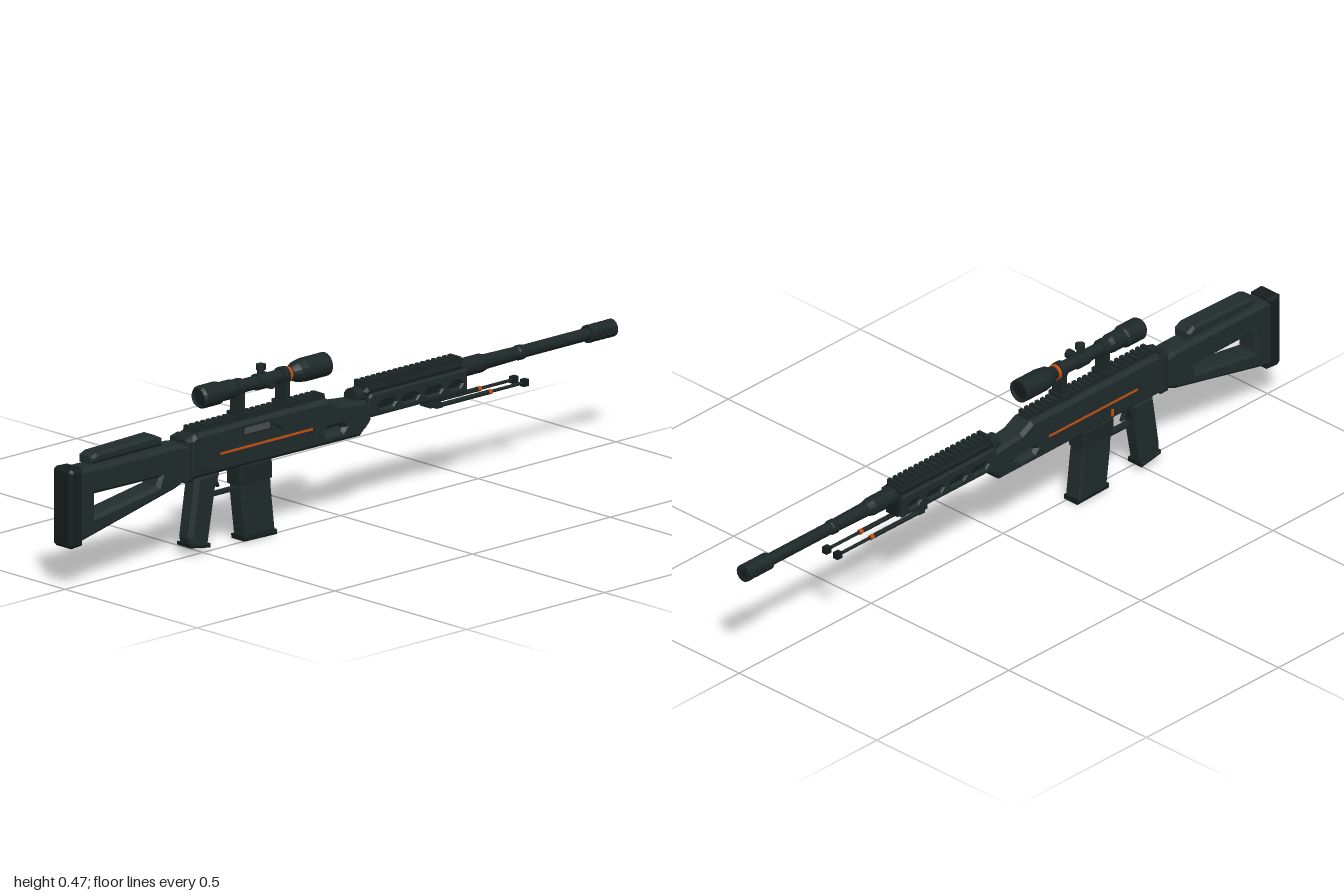
import * as THREE from 'three';

const flat = (name, color) => {
  const m = new THREE.MeshStandardMaterial({ color, flatShading: true });
  m.name = name;
  return m;
};

export function createModel() {
  const body = flat('darkBody', 0x212c2c);
  const metal = flat('darkMetal', 0x1d2727);
  const rubber = flat('blackRubber', 0x161e1e);
  const steel = flat('greySteel', 0x4a4e50);
  const orange = flat('orangeAccent', 0xc8500f);

  const root = new THREE.Group();
  root.name = 'rifle';
  const model = new THREE.Group();
  model.name = 'rifleParts';
  model.position.x = -0.015;
  root.add(model);

  const add = (name, geo, mat, x = 0, y = 0, z = 0) => {
    const m = new THREE.Mesh(geo, mat);
    m.name = name;
    m.position.set(x, y, z);
    model.add(m);
    return m;
  };
  const box = (name, mat, w, h, d, x, y, z) => add(name, new THREE.BoxGeometry(w, h, d), mat, x, y, z);
  const vecs = (pts) => pts.map(([a, b]) => new THREE.Vector2(a, b));

  // Side profile in (z, y), extruded across x with chamfered edges
  const side = (name, mat, pts, width, bevel, holes = [], x = 0) => {
    const shape = new THREE.Shape(vecs(pts));
    holes.forEach((h) => shape.holes.push(new THREE.Path(vecs(h))));
    const geo = new THREE.ExtrudeGeometry(shape, {
      depth: width - 2 * bevel, bevelEnabled: bevel > 0, bevelThickness: bevel,
      bevelSize: bevel, bevelOffset: -bevel, bevelSegments: 1,
    });
    geo.translate(0, 0, bevel - width / 2);
    geo.rotateY(-Math.PI / 2);
    return add(name, geo, mat, x);
  };
  // Turned part along z from (radius, z) points
  const turned = (name, mat, pts, y, x = 0, seg = 16) => {
    const geo = new THREE.LatheGeometry(vecs(pts), seg);
    geo.rotateX(Math.PI / 2);
    return add(name, geo, mat, x, y, 0);
  };
  const rod = (name, mat, r, z0, z1, y, x = 0, seg = 16) =>
    turned(name, mat, [[0, z0], [r, z0], [r, z1], [0, z1]], y, x, seg);
  const slot = (z, y, hw, hh) => [
    [z - hw, y], [z - hw + hh, y + hh], [z + hw - hh, y + hh],
    [z + hw, y], [z + hw - hh, y - hh], [z - hw + hh, y - hh],
  ];
  // Toothed accessory rail
  const rail = (name, z0, z1, y) => {
    box(name + 'Base', metal, 0.036, 0.018, z1 - z0, 0, y - 0.004, (z0 + z1) / 2);
    const n = Math.round((z1 - z0) / 0.02);
    for (let i = 0; i < n; i++)
      box(name + 'Tooth', metal, 0.042, 0.01, 0.011, 0, y + 0.008, z0 + ((i + 0.5) * (z1 - z0)) / n);
  };

  // Skeleton stock, butt pad and cheek rest
  side('stock', body, [[0.97, 0.12], [0.97, 0.32], [0.6, 0.317], [0.56, 0.312], [0.56, 0.22], [0.61, 0.2]],
    0.07, 0.01, [[[0.905, 0.245], [0.905, 0.185], [0.68, 0.22], [0.67, 0.242]]]);
  side('buttPad', rubber, [[0.952, 0.113], [0.99, 0.11], [1, 0.12], [1, 0.32], [0.99, 0.327], [0.952, 0.325]], 0.072, 0.008);
  side('cheekRest', body, [[0.915, 0.325], [0.915, 0.345], [0.895, 0.353], [0.68, 0.358], [0.655, 0.345], [0.655, 0.325]], 0.056, 0.008);
  side('stockCollar', metal, [[0.578, 0.207], [0.578, 0.325], [0.55, 0.332], [0.55, 0.207]], 0.076, 0.01);

  // Receiver with two lightening slots
  side('receiver', body, [[0.562, 0.212], [0.562, 0.32], [0.54, 0.333], [0.06, 0.333], [0.02, 0.312], [-0.08, 0.302],
    [-0.1, 0.285], [-0.1, 0.245], [-0.06, 0.208]], 0.07, 0.01, [slot(0.038, 0.245, 0.034, 0.007), slot(-0.045, 0.245, 0.03, 0.007)]);
  rail('receiverRail', 0.06, 0.54, 0.335);

  // Accent lines and side details
  for (const s of [-1, 1]) {
    box('accentLine', orange, 0.003, 0.006, 0.335, s * 0.0355, 0.265, 0.288);
    for (const z of [0.52, 0.09]) {
      const pin = add('receiverPin', new THREE.CylinderGeometry(0.008, 0.008, 0.004, 10), metal, s * 0.036, 0.235, z);
      pin.rotation.z = Math.PI / 2;
    }
  }
  box('safetyMark', orange, 0.004, 0.02, 0.009, -0.036, 0.235, 0.36);
  box('portFrame', metal, 0.004, 0.03, 0.105, 0.036, 0.309, 0.325);
  box('ejectionPort', steel, 0.006, 0.017, 0.09, 0.0365, 0.31, 0.325);
  const handle = add('boltHandle', new THREE.CylinderGeometry(0.005, 0.005, 0.05, 10), metal, 0.042, 0.308, 0.26);
  const knob = add('boltKnob', new THREE.CylinderGeometry(0.007, 0.006, 0.022, 10), metal, 0.059, 0.308, 0.26);
  handle.rotation.z = knob.rotation.z = -Math.PI / 2;

  // Pistol grip, trigger and guard
  side('pistolGrip', body, [[0.53, 0.215], [0.44, 0.215], [0.457, 0.17], [0.485, 0.018], [0.5, 0.012], [0.55, 0.024], [0.556, 0.05]], 0.054, 0.011);
  side('gripCap', rubber, [[0.482, 0.012], [0.554, 0.024], [0.556, 0.034], [0.482, 0.024]], 0.056, 0.003);
  box('triggerGuard', metal, 0.02, 0.008, 0.1, 0, 0.147, 0.41);
  side('trigger', metal, [[0.45, 0.215], [0.43, 0.215], [0.437, 0.185], [0.428, 0.165], [0.436, 0.163], [0.448, 0.185]], 0.012, 0.002);

  // Magazine
  side('magazine', body, [[0.372, 0.215], [0.262, 0.215], [0.26, 0.14], [0.245, 0.012], [0.352, 0.012], [0.366, 0.12]], 0.055, 0.007);
  side('magazineCollar', metal, [[0.377, 0.215], [0.258, 0.215], [0.257, 0.158], [0.375, 0.158]], 0.059, 0.006);
  side('magazineBase', rubber, [[0.24, 0], [0.358, 0.003], [0.36, 0.016], [0.24, 0.014]], 0.054, 0.003);

  // Handguard: slotted side walls around a solid core
  const guard = [[-0.075, 0.262], [-0.075, 0.325], [-0.09, 0.333], [-0.438, 0.333], [-0.438, 0.25], [-0.33, 0.25], [-0.31, 0.256]];
  side('handguardCore', rubber, guard, 0.058, 0.008);
  const wall = [[-0.08, 0.265], [-0.08, 0.31], [-0.09, 0.318], [-0.438, 0.318], [-0.438, 0.255], [-0.09, 0.255]];
  const slots = [-0.145, -0.23, -0.315, -0.395].map((z, i) => slot(z, 0.282, i === 3 ? 0.025 : 0.032, 0.01));
  for (const s of [-1, 1]) side('handguardWall', body, wall, 0.014, 0.004, slots, s * 0.034);
  rail('handguardRail', -0.438, -0.08, 0.335);

  // Barrel with shoulder steps
  turned('barrel', metal, [[0, -0.94], [0.017, -0.94], [0.017, -0.675], [0.02, -0.672], [0.02, -0.655],
    [0.018, -0.65], [0.02, -0.54], [0.025, -0.52], [0.025, -0.05], [0, -0.05]], 0.309);

  // Muzzle brake: top and bottom shells joined by discs, open through the sides
  const muzzle = new THREE.Shape();
  muzzle.absarc(0, 0, 0.0235, 0.42, Math.PI - 0.42, false);
  for (const flip of [0, Math.PI]) {
    const geo = new THREE.ExtrudeGeometry(muzzle, { depth: 0.09, bevelEnabled: false, curveSegments: 8 });
    geo.rotateZ(flip);
    add('muzzleShell', geo, metal, 0, 0.309, -1);
  }
  for (const [a, b] of [[-1, -0.978], [-0.966, -0.957], [-0.945, -0.936], [-0.924, -0.908]])
    rod('muzzleRing', metal, 0.024, a, b, 0.309);
  rod('muzzleBore', rubber, 0.011, -1.0005, -0.99, 0.309);

  // Folded bipod
  box('bipodMount', metal, 0.04, 0.03, 0.035, 0, 0.243, -0.34);
  box('bipodPivot', metal, 0.052, 0.014, 0.022, 0, 0.232, -0.35);
  for (const s of [-1, 1]) {
    const x = s * 0.02;
    rod('bipodLegUpper', metal, 0.0065, -0.54, -0.345, 0.231, x, 10);
    rod('bipodLegLower', metal, 0.0045, -0.66, -0.53, 0.231, x, 10);
    rod('bipodLegBand', orange, 0.0072, -0.541, -0.53, 0.231, x, 10);
    box('bipodFoot', rubber, 0.016, 0.019, 0.018, x, 0.231, -0.663);
  }

  // Scope
  const sy = 0.42;
  turned('scopeTube', metal, [[0, 0.053], [0.026, 0.053], [0.027, 0.043], [0.032, 0.043], [0.032, 0.125], [0.028, 0.15],
    [0.018, 0.17], [0.018, 0.36], [0.026, 0.385], [0.026, 0.43], [0.031, 0.435], [0.031, 0.495], [0.025, 0.503], [0.024, 0.492], [0, 0.492]], sy);
  rod('scopeBand', orange, 0.0215, 0.177, 0.185, sy);
  rod('frontLens', rubber, 0.0255, 0.05, 0.054, sy);
  rod('rearLens', rubber, 0.0235, 0.49, 0.494, sy);
  rod('turretBlock', metal, 0.022, 0.255, 0.295, sy);
  const turret = (name) => {
    add(name + 'Stem', new THREE.CylinderGeometry(0.01, 0.01, 0.03, 12), metal, 0, sy + 0.025, 0.275);
    return add(name, new THREE.CylinderGeometry(0.0135, 0.0135, 0.014, 12), metal, 0, sy + 0.039, 0.275);
  };
  turret('topTurret');
  const sideStem = add('sideTurretStem', new THREE.CylinderGeometry(0.01, 0.01, 0.03, 12), metal, 0.022, sy, 0.275);
  const sideTurret = add('sideTurret', new THREE.CylinderGeometry(0.0135, 0.0135, 0.014, 12), metal, 0.037, sy, 0.275);
  sideStem.rotation.z = sideTurret.rotation.z = Math.PI / 2;
  for (const z of [0.36, 0.197]) {
    rod('scopeRing', metal, 0.0235, z - 0.01, z + 0.01, sy);
    box('scopePost', metal, 0.038, 0.07, 0.018, 0, 0.377, z);
    box('scopeClamp', metal, 0.052, 0.016, 0.028, 0, 0.346, z);
  }
  return root;
}
